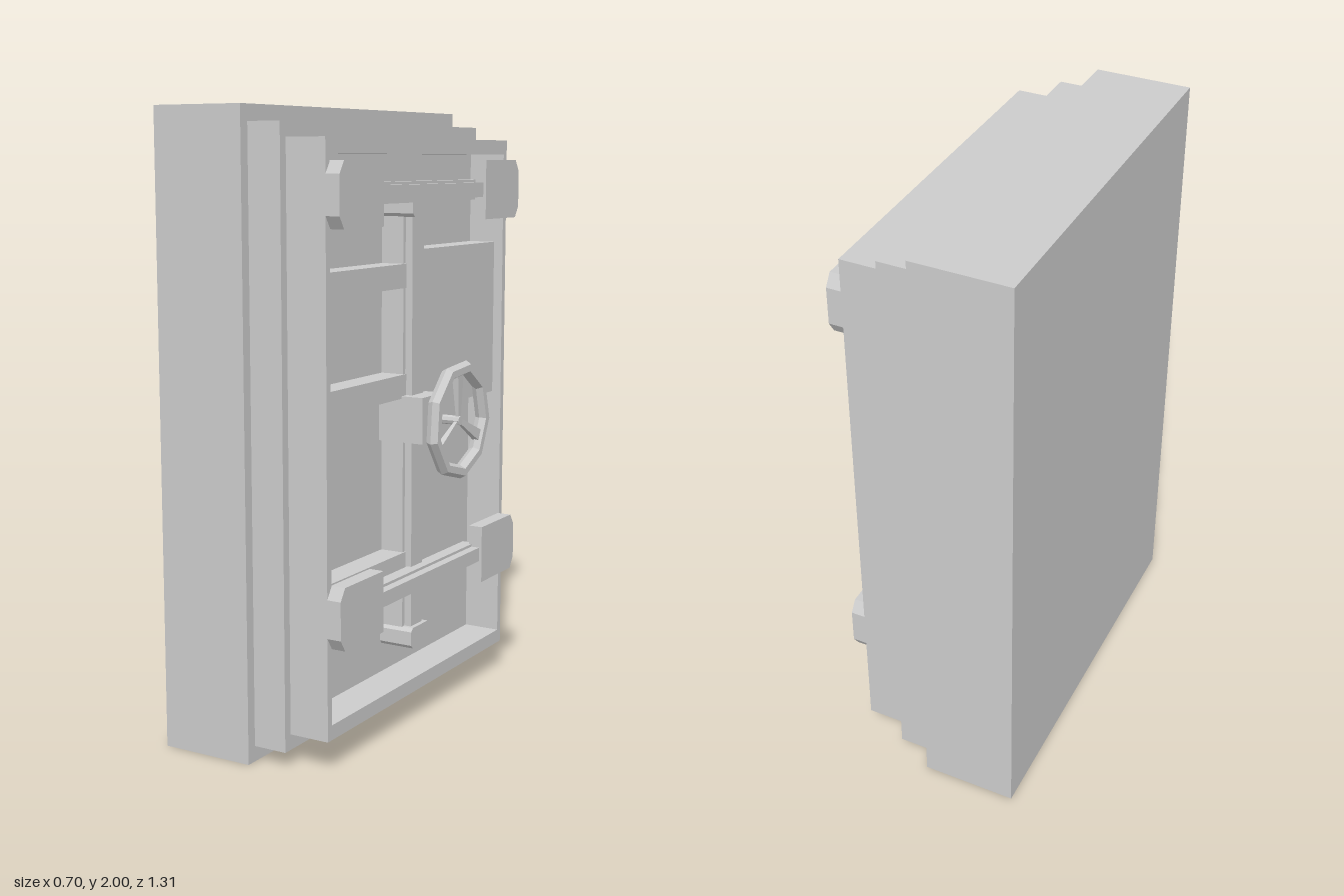
import * as THREE from 'three';

const mat = new THREE.MeshStandardMaterial({ color: 0xcccccc, flatShading: true, side: THREE.DoubleSide });

export function createModel() {
  const g = new THREE.Group();
  g.name = 'vaultDoor';

  const add = (name, geo, x = 0, y = 0, z = 0) => {
    const m = new THREE.Mesh(geo, mat);
    m.name = name;
    m.position.set(x, y, z);
    g.add(m);
    return m;
  };
  // Box given by its extents
  const box = (name, x0, x1, y0, y1, z0, z1) =>
    add(name, new THREE.BoxGeometry(x1 - x0, y1 - y0, z1 - z0), (x0 + x1) / 2, (y0 + y1) / 2, (z0 + z1) / 2);
  // Outline (u runs to -z, v up) extruded along +x
  const slab = (name, shape, x0, x1) =>
    add(name, new THREE.ExtrudeGeometry(shape, { depth: x1 - x0, bevelEnabled: false }).rotateY(Math.PI / 2), x0);
  const poly = (pts) => new THREE.Shape(pts.map(([u, v]) => new THREE.Vector2(u, v)));
  const rect = (w, y0, y1) => poly([[-w, y0], [w, y0], [w, y1], [-w, y1]]);

  // Stepped door body with a recessed inner face
  const floor = 0.08;
  box('outerSlab', -0.355, -0.04, 0, 2, -0.655, 0.655);
  box('middleStep', -0.04, 0.073, 0.05, 1.95, -0.62, 0.62);
  box('recessFloor', 0.073, floor, 0.12, 1.88, -0.58, 0.58);
  const frame = rect(0.59, 0.1, 1.905);
  frame.holes.push(rect(0.567, 0.147, 1.857));
  slab('rimFrame', frame, 0.073, 0.208);

  // Ribs on one half, raised panel on the other
  for (const y of [0.49, 1.08, 1.435]) box('rib', floor, 0.165, y, y + 0.077, 0.04, 0.567);
  box('raisedPanel', floor, 0.175, 1.025, 1.555, -0.567, -0.04);

  // Vertical bolt bar with end caps
  box('verticalBarBase', floor, 0.16, 0.29, 1.7, -0.052, 0.052);
  box('verticalBarRidge', 0.16, 0.185, 0.29, 1.7, -0.036, 0.038);
  for (const [y0, y1] of [[0.245, 0.315], [1.66, 1.73]]) {
    const w = 0.062, c = 0.012;
    slab('barEndCap', poly([[-w + c, y0], [w - c, y0], [w, y0 + c], [w, y1 - c],
      [w - c, y1], [-w + c, y1], [-w, y1 - c], [-w, y0 + c]]), floor, 0.2);
  }

  // Horizontal bolts with chamfered pads at both ends
  for (const y of [0.485, 1.74]) {
    box('boltBase', 0.17, 0.215, y - 0.033, y + 0.033, -0.36, 0.36);
    box('boltRidge', 0.215, 0.245, y - 0.024, y + 0.024, -0.36, 0.36);
    for (const s of [-1, 1]) {
      const h = 0.098, c = 0.038;
      slab('boltPad', poly([[s * 0.338, y - h], [s * 0.565, y - h], [s * 0.59, y - h + c],
        [s * 0.59, y + h - c], [s * 0.565, y + h], [s * 0.338, y + h]]), 0.205, 0.255);
    }
  }

  // Gearbox and shaft
  const cy = 1.013;
  box('gearbox', floor, 0.242, 0.937, 1.088, -0.07, 0.07);
  add('shaft', new THREE.CylinderGeometry(0.015, 0.015, 0.1, 8).rotateZ(Math.PI / 2), 0.29, cy, -0.005);

  // Faceted handwheel with three tapered spokes
  const wheel = new THREE.Group();
  wheel.name = 'handwheel';
  wheel.position.set(0.33, cy, -0.01);
  wheel.rotation.y = Math.PI / 2;
  const rim = new THREE.Mesh(new THREE.TorusGeometry(0.172, 0.023, 6, 9), mat);
  rim.name = 'wheelRim';
  rim.rotation.z = THREE.MathUtils.degToRad(-85);
  wheel.add(rim);
  for (let i = 0; i < 3; i++) {
    const geo = new THREE.CylinderGeometry(0.028, 0.011, 0.165, 4).rotateY(Math.PI / 4);
    geo.scale(1, 1, 0.6).translate(0, 0.083, 0).rotateZ((i * 2 * Math.PI) / 3 + 0.05);
    const spoke = new THREE.Mesh(geo, mat);
    spoke.name = 'wheelSpoke';
    wheel.add(spoke);
  }
  g.add(wheel);
  return g;
}
